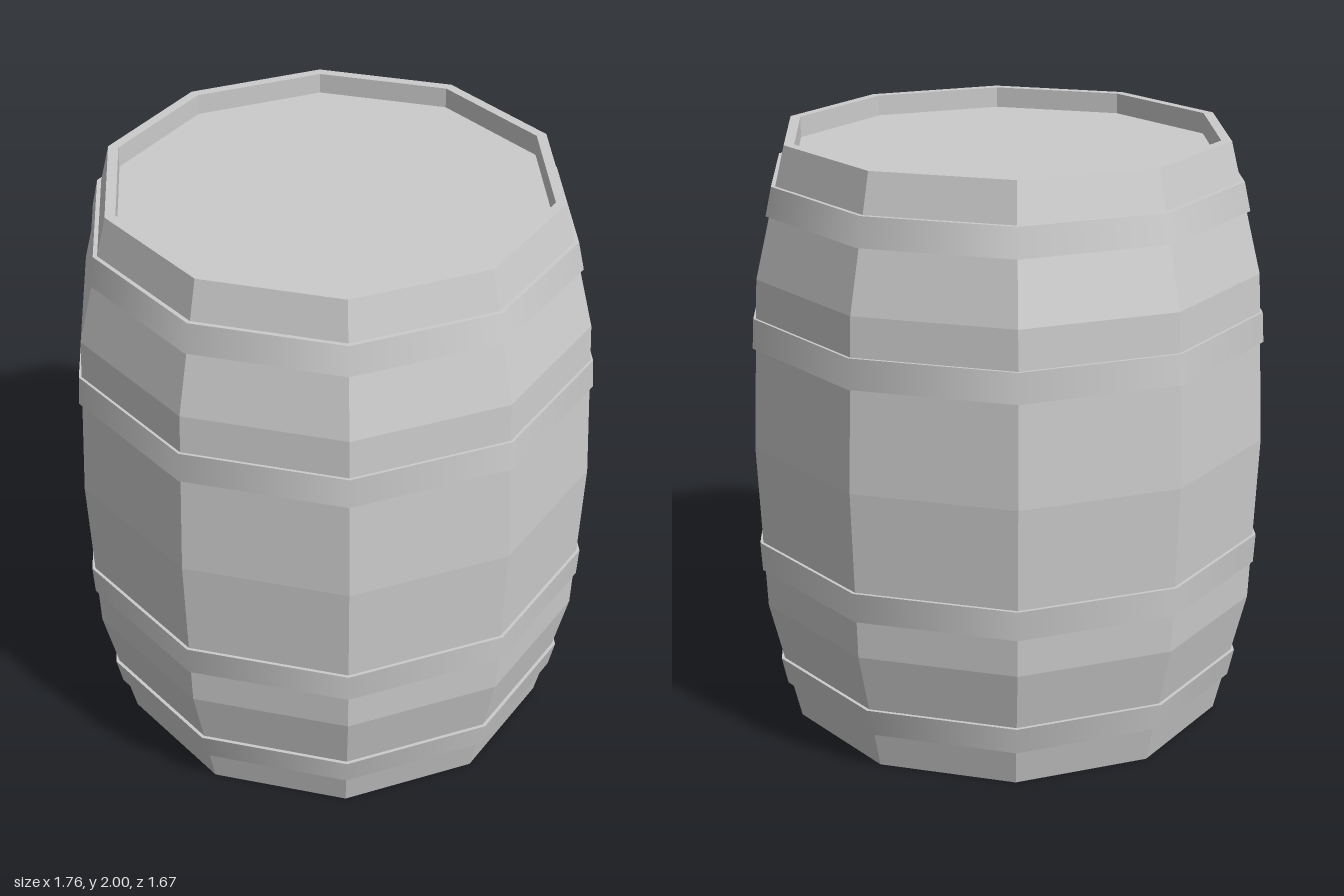
import * as THREE from 'three';
import { mergeGeometries } from 'three/addons/utils/BufferGeometryUtils.js';

const SIDES = 10;

// Ten-sided lathe with corners on the x axis; profile points are [radius, height]
function lathe(profile) {
  const points = profile.map(([r, y]) => new THREE.Vector2(r, y));
  return new THREE.LatheGeometry(points, SIDES, Math.PI / 2);
}

// Hoop: smooth outer band closed by flat lips that sink into the staves
function hoopGeometry(y0, r0, y1, r1) {
  const sink = 0.06;
  return mergeGeometries([
    lathe([[r0 - sink, y0], [r0, y0]]),
    lathe([[r0, y0], [r1, y1]]),
    lathe([[r1, y1], [r1 - sink, y1]]),
  ]);
}

export function createModel() {
  const barrel = new THREE.Group();
  barrel.name = 'barrel';

  const wood = new THREE.MeshStandardMaterial({ color: 0xcccccc, flatShading: true });
  const metal = new THREE.MeshStandardMaterial({ color: 0xcccccc });

  function add(name, geometry, material) {
    const mesh = new THREE.Mesh(geometry, material);
    mesh.name = name;
    barrel.add(mesh);
  }

  // Bulging staves with a narrow rim at each end
  add('staves', lathe([
    [0.715, 0.07], [0.715, 0], [0.75, 0], [0.855, 0.43], [0.88, 1],
    [0.855, 1.57], [0.75, 2], [0.715, 2], [0.715, 1.93],
  ]), wood);

  // Recessed heads
  add('bottomHead', lathe([[0, 0.07], [0.715, 0.07]]), wood);
  add('topHead', lathe([[0.715, 1.93], [0, 1.93]]), wood);

  // Two hoops near each end, mirrored about mid-height
  const hoops = [
    ['OuterHoop', 1.775, 0.817, 1.87, 0.796],
    ['InnerHoop', 1.34, 0.876, 1.44, 0.87],
  ];
  for (const [name, y0, r0, y1, r1] of hoops) {
    add('upper' + name, hoopGeometry(y0, r0, y1, r1), metal);
    add('lower' + name, hoopGeometry(2 - y1, r1, 2 - y0, r0), metal);
  }

  return barrel;
}
